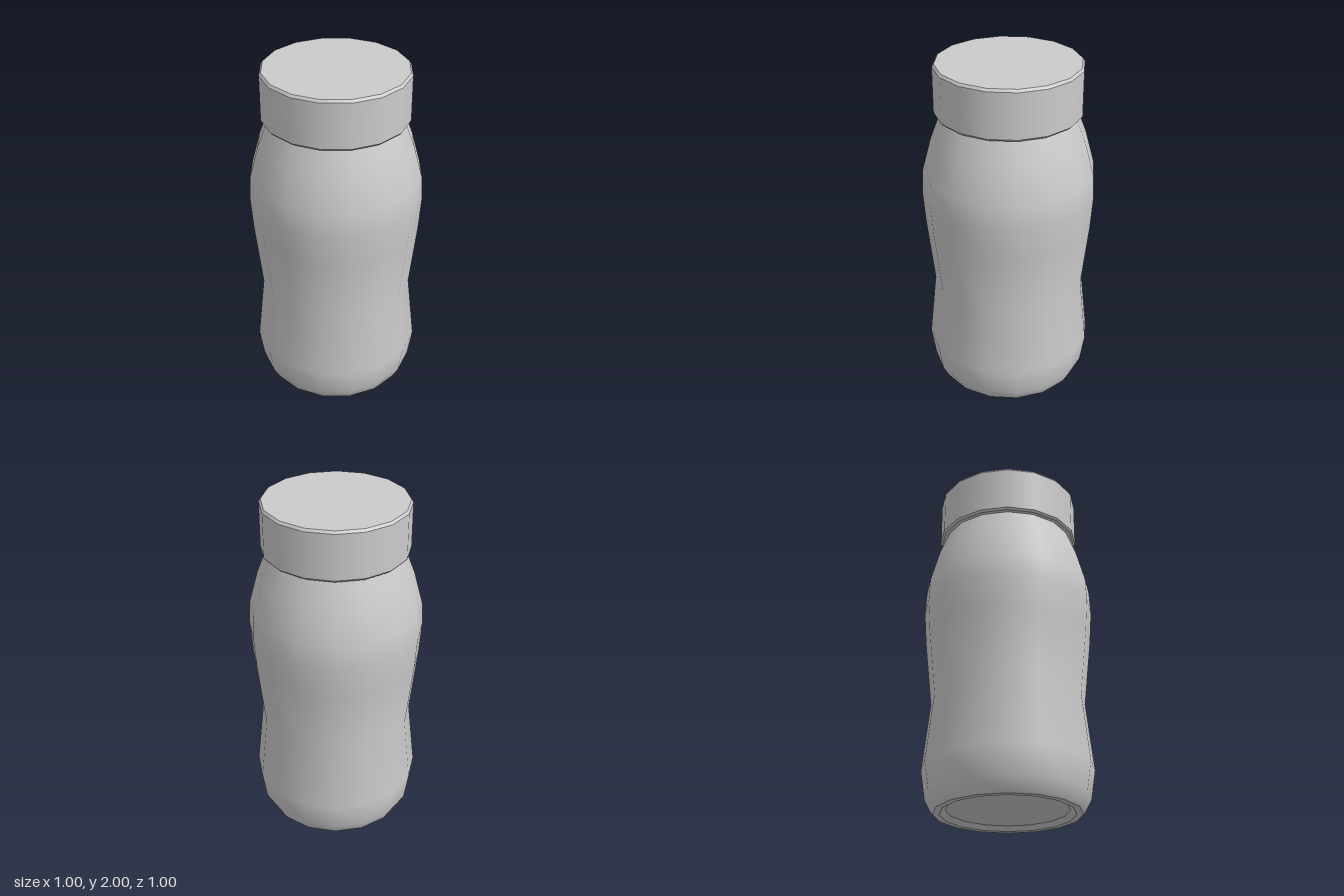
import * as THREE from 'three';

const SIDES = 16;
const material = new THREE.MeshStandardMaterial({ color: 0xcccccc });

// Each profile runs from bottom centre, outward and up; separate profiles meet in a sharp edge.
function turned(name, profiles) {
  const part = new THREE.Group();
  part.name = name;
  for (const [pieceName, points] of Object.entries(profiles)) {
    const profile = points.map(([r, y]) => new THREE.Vector2(r, y));
    const mesh = new THREE.Mesh(new THREE.LatheGeometry(profile, SIDES), material);
    mesh.name = pieceName;
    part.add(mesh);
  }
  return part;
}

export function createModel() {
  const model = new THREE.Group();
  model.name = 'bottle';

  // Waisted body standing on a rim around a shallow recess
  model.add(turned('body', {
    baseRecess: [[0, 0.025], [0.345, 0.025]],
    recessWall: [[0.345, 0.025], [0.378, 0]],
    baseRim: [[0.378, 0], [0.415, 0]],
    bodyWall: [
      [0.415, 0], [0.425, 0.01], [0.462, 0.08], [0.488, 0.25], [0.445, 0.645], [0.487, 1.04],
      [0.5, 1.23], [0.493, 1.37], [0.442, 1.56], [0.385, 1.71], [0.375, 1.74],
    ],
  }));

  // Screw cap with narrow bevels at both edges
  model.add(turned('cap', {
    capUnderside: [[0.36, 1.71], [0.408, 1.71]],
    capLowerBevel: [[0.408, 1.71], [0.418, 1.722]],
    capSide: [[0.418, 1.722], [0.418, 1.985]],
    capUpperBevel: [[0.418, 1.985], [0.407, 2]],
    capTop: [[0.407, 2], [0, 2]],
  }));

  return model;
}
